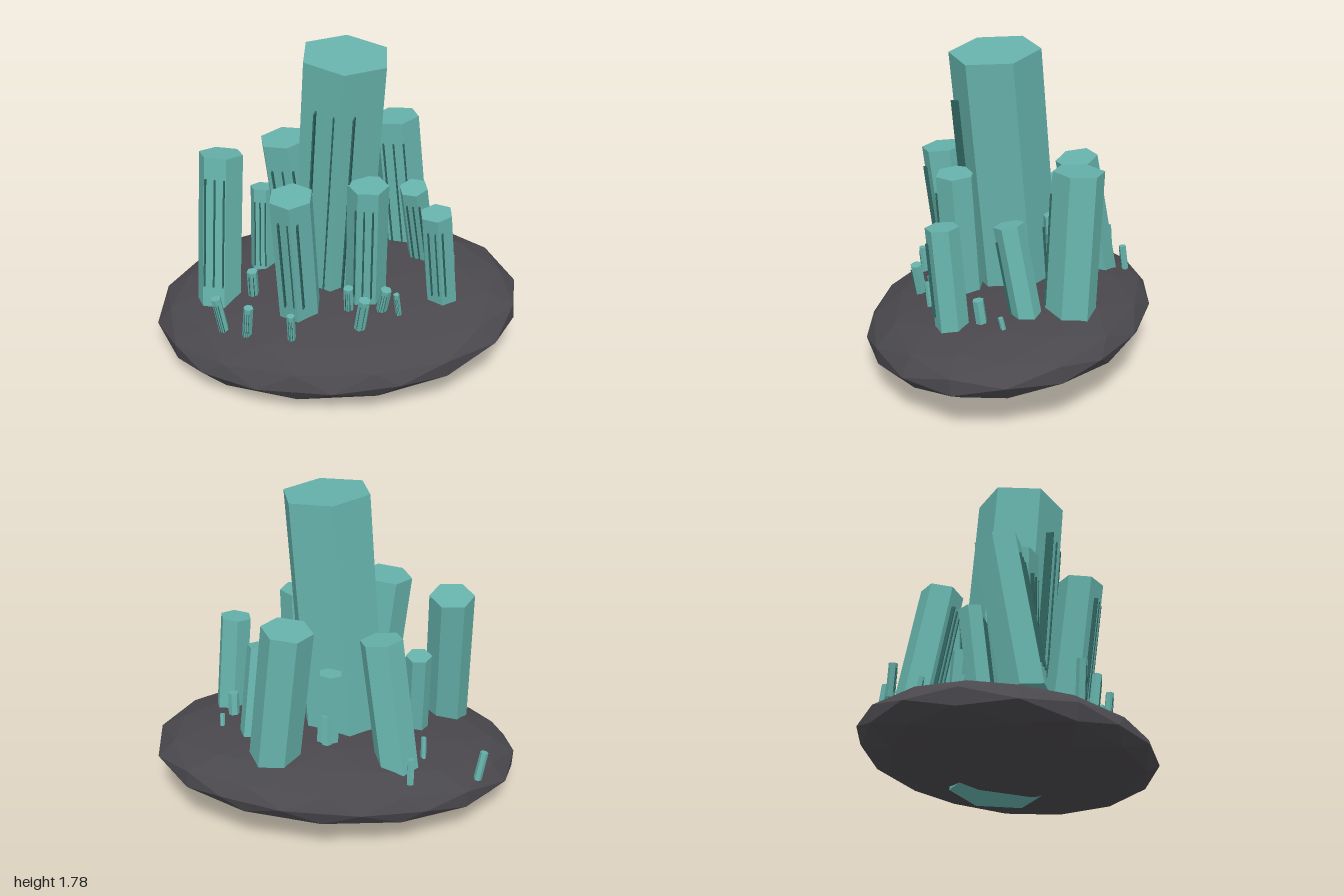
import * as THREE from 'three';

const make = (name, color) => {
  const m = new THREE.MeshStandardMaterial({ color, flatShading: true });
  m.name = name;
  return m;
};
const teal = make('teal crystal', 0x66b2ab);
const darkTeal = make('dark teal groove', 0x2f625d);
const stone = make('charcoal stone', 0x4a484d);

const UP = new THREE.Vector3(0, 1, 0);

// Height of the tilted stone's upper surface
function ground(x, z) {
  const s = Math.max(0, 1 - x * x - (z / 0.77) ** 2);
  return 0.25 + 0.07 * x - 0.116 * z + 0.22 * Math.sqrt(s);
}

// Hexagonal prism between two points, with three raised growth lines on its front
function crystal(name, bottom, top, r, yaw) {
  const a = new THREE.Vector3(...bottom), b = new THREE.Vector3(...top);
  const axis = b.clone().sub(a), len = axis.length();
  const group = new THREE.Group();
  group.name = name;
  group.position.copy(a).add(b).multiplyScalar(0.5);
  group.quaternion.setFromUnitVectors(UP, axis.normalize());

  const prism = new THREE.Mesh(new THREE.CylinderGeometry(r, r, len, 6), teal);
  prism.name = 'crystalBody';
  prism.rotation.y = THREE.MathUtils.degToRad(yaw);
  group.add(prism);

  const lineGeo = new THREE.BoxGeometry(Math.min(0.008, r * 0.1), len * 0.72, r * 0.18);
  for (const k of [-0.42, 0, 0.42]) {
    const line = new THREE.Mesh(lineGeo, darkTeal);
    line.name = 'growthLine';
    line.position.set(k * r, 0, r * 0.86);
    group.add(line);
  }
  return group;
}

export function createModel() {
  const model = new THREE.Group();
  model.name = 'crystalCluster';

  // Flattened, tilted stone base
  const rockGeo = new THREE.IcosahedronGeometry(1, 2).rotateX(-Math.PI / 2);
  rockGeo.applyMatrix4(new THREE.Matrix4().set(
    1.01, -0.015, -0.066, 0,
    0.07, 0.222, -0.09, 0.248,
    0.0, 0.026, 0.78, 0,
    0, 0, 0, 1));
  const rock = new THREE.Mesh(rockGeo, stone);
  rock.name = 'stoneBase';
  model.add(rock);

  // Large crystals: bottom, top, radius, yaw in degrees
  const large = [
    ['mainCrystal', [-0.06, 0.03, -0.05], [0.06, 1.755, 0.06], 0.24, 10],
    ['leanCrystal', [-0.15, 0.3, 0.05], [-0.26, 1.28, 0.09], 0.135, 20],
    ['rightTallCrystal', [-0.615, 0.32, 0.23], [-0.61, 1.155, 0.09], 0.122, 30],
    ['frontCrystal', [-0.13, 0.38, 0.33], [-0.145, 1.12, 0.43], 0.118, 8],
    ['frontLeftCrystal', [0.2, 0.38, 0.19], [0.215, 1.12, 0.23], 0.108, 40],
    ['backRightCrystal', [-0.33, 0.36, -0.42], [-0.23, 1.1, -0.31], 0.115, 15],
    ['backLeftCrystal', [0.33, 0.38, -0.43], [0.24, 1.22, -0.44], 0.135, 25],
    ['sideCrystal', [0.45, 0.42, -0.24], [0.4, 0.95, -0.12], 0.08, 20],
    ['leftCrystal', [0.605, 0.42, 0.12], [0.565, 0.97, 0.18], 0.088, 12],
    ['smallRightCrystal', [-0.43, 0.36, -0.03], [-0.435, 0.885, -0.09], 0.07, 30],
    ['smallBackCrystal', [0.05, 0.4, -0.3], [0.03, 0.87, -0.26], 0.065, 0],
  ];
  for (const c of large) model.add(crystal(...c));

  // Tiny crystals around the rim: x, z, radius, height, lean in x
  const tiny = [
    [-0.39, -0.56, 0.02, 0.12, 0], [-0.775, -0.385, 0.022, 0.14, -0.02],
    [-0.465, -0.345, 0.015, 0.1, 0], [-0.34, -0.16, 0.02, 0.12, 0],
    [0.05, -0.33, 0.03, 0.16, 0], [0.625, -0.155, 0.014, 0.06, 0],
    [0.575, -0.02, 0.03, 0.12, 0], [-0.415, 0.24, 0.03, 0.16, 0],
    [-0.535, 0.485, 0.028, 0.22, -0.025], [-0.365, 0.525, 0.026, 0.19, 0.015],
    [-0.125, 0.55, 0.022, 0.16, 0], [0.135, 0.33, 0.028, 0.14, 0],
    [0.325, 0.315, 0.03, 0.14, 0.02], [0.395, 0.325, 0.016, 0.13, -0.01],
    [0.235, 0.445, 0.033, 0.18, 0.02],
  ];
  tiny.forEach(([x, z, r, h, lean], i) => {
    const y = ground(x, z);
    model.add(crystal('tinyCrystal', [x - lean, y - 0.02, z - 0.01],
      [x + lean * 0.5, y + h, z + 0.01], r, (i * 17) % 60));
  });

  return model;
}
